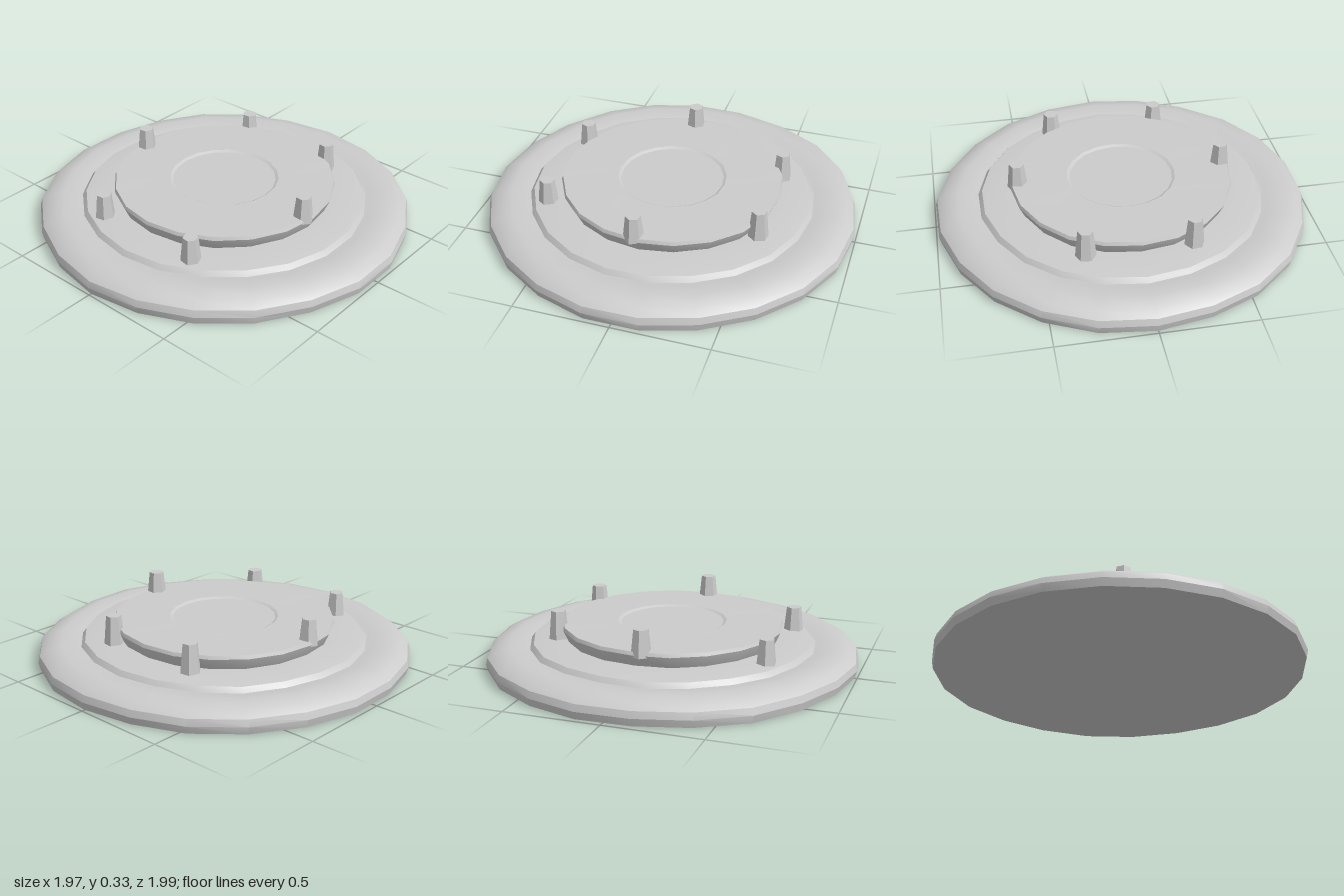
import * as THREE from 'three';
import { toCreasedNormals } from 'three/addons/utils/BufferGeometryUtils.js';

const grey = new THREE.MeshStandardMaterial({ color: 0xcccccc });

// Faceted turned part; wobble makes the surface look hand-hewn
function turned(name, profile, sides, wobble, crease) {
  const points = profile.map(([r, y]) => new THREE.Vector2(r, y));
  const geo = new THREE.LatheGeometry(points, sides);
  const p = geo.attributes.position;
  for (let i = 0; i < p.count; i++) {
    const x = p.getX(i), y = p.getY(i), z = p.getZ(i);
    const r = Math.hypot(x, z);
    if (r < 0.01 || y < 0.005) continue;
    const a = Math.atan2(x, z);
    const k = 1 + wobble * (Math.sin(5 * a + 9 * y) + 0.6 * Math.cos(8 * a + r * 7));
    p.setXYZ(i, x * k, y + wobble * 0.4 * Math.sin(7 * a + r * 11), z * k);
  }
  const mesh = new THREE.Mesh(toCreasedNormals(geo, crease), grey);
  mesh.name = name;
  return mesh;
}

// Tapered six-sided peg standing from y0 to y1
function peg(name, x, z, y0, y1, turn) {
  const geo = new THREE.CylinderGeometry(0.039, 0.054, y1 - y0, 6).toNonIndexed();
  geo.computeVertexNormals();
  const mesh = new THREE.Mesh(geo, grey);
  mesh.name = name;
  mesh.position.set(x, (y0 + y1) / 2, z);
  mesh.rotation.set(0, turn, 0);
  return mesh;
}

export function createModel() {
  const group = new THREE.Group();
  group.name = 'roundPlatform';

  // Wide base: rounded rim, shallow groove, raised inner step
  group.add(turned('base', [
    [0, 0.01], [0.985, 0.01], [0.995, 0.05], [0.985, 0.085], [0.945, 0.112],
    [0.87, 0.13], [0.79, 0.118], [0.765, 0.115], [0.745, 0.14], [0.7, 0.145],
    [0.6, 0.15], [0, 0.15],
  ], 22, 0.004, 0.5));

  // Upper disc, flaring slightly upward
  group.add(turned('upperDisc', [
    [0.55, 0.13], [0.565, 0.15], [0.592, 0.21], [0.585, 0.228], [0.29, 0.228],
  ], 20, 0.002, 0.5));

  // Shallow eight-sided recess in the middle
  const recess = turned('centreRecess', [
    [0.32, 0.226], [0.295, 0.228], [0.275, 0.219], [0, 0.219],
  ].reverse().map(([r, y]) => [r, y]).reverse(), 20, 0, 0.4);
  group.add(recess);

  // Three mirrored pairs of pegs around the disc
  const pairs = [
    ['backPeg', 0.275, -0.54, 0.14, 0.3],
    ['sidePeg', 0.55, 0.03, 0.2, 0.338],
    ['frontPeg', 0.3, 0.595, 0.13, 0.272],
  ];
  for (const [name, x, z, y0, y1] of pairs) {
    for (const s of [1, -1]) {
      group.add(peg((s > 0 ? 'left' : 'right') + name[0].toUpperCase() + name.slice(1), s * x, z, y0, y1, s * 0.4));
    }
  }
  return group;
}
